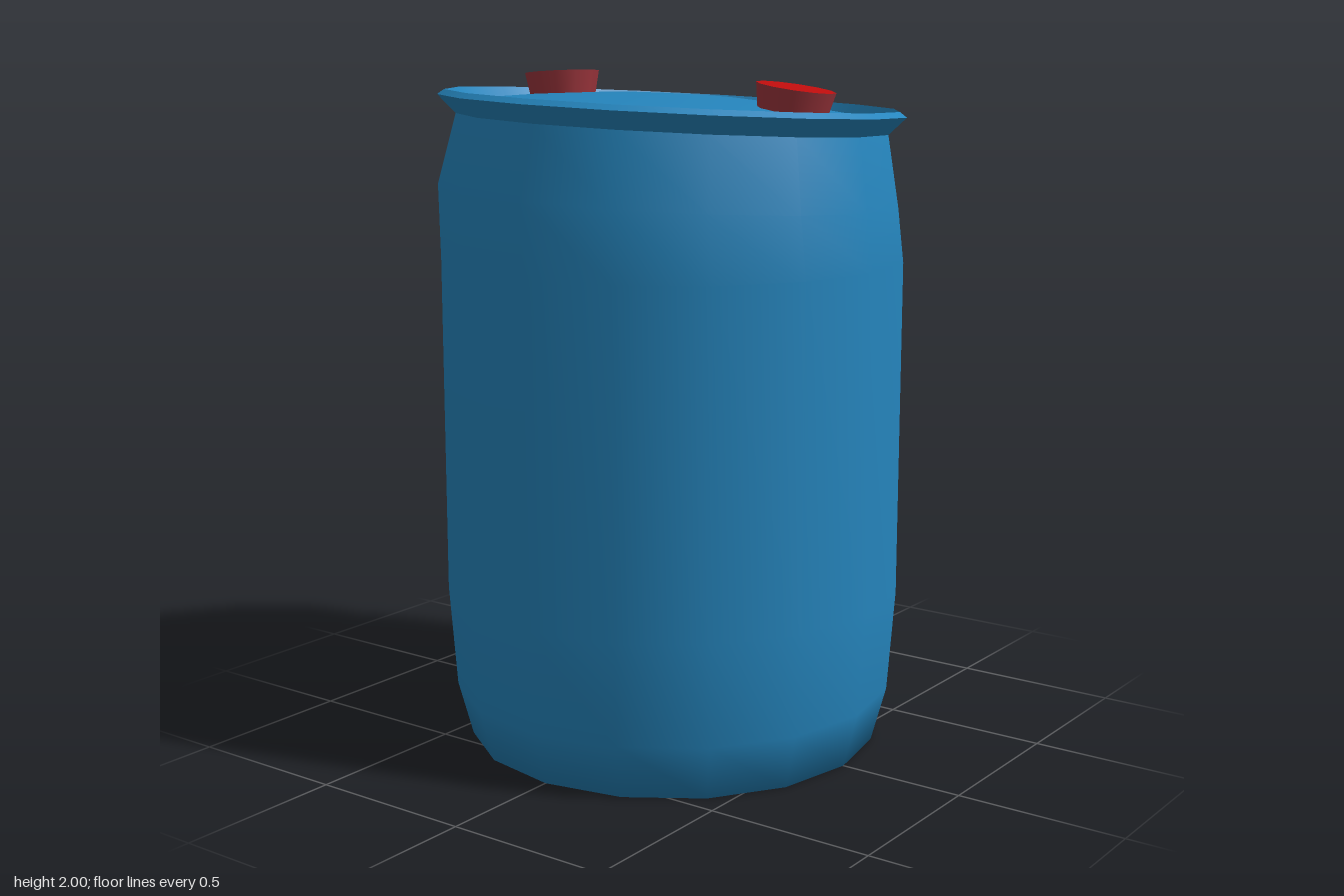
import * as THREE from 'three';

const SIDES = 16;
const clamp01 = (t) => Math.min(1, Math.max(0, t));

// Slanted top: rings above the barrel's straight wall tip to one side and lean slightly
const slope = (x, z) => -0.036 * x + 0.033 * z;
function warp(geometry) {
  const p = geometry.attributes.position;
  for (let i = 0; i < p.count; i++) {
    const x = p.getX(i), y = p.getY(i), z = p.getZ(i);
    const tilt = clamp01((y - 1.46) / 0.19);
    const lean = 0.008 * Math.max(0, 1 - Math.abs(y - 1.65) / 0.18);
    p.setXYZ(i, x - lean, y + tilt * slope(x, z), z + lean);
  }
  return geometry;
}

function ring(name, profile, material) {
  const points = profile.map(([r, y]) => new THREE.Vector2(r, y));
  const mesh = new THREE.Mesh(warp(new THREE.LatheGeometry(points, SIDES)), material);
  mesh.name = name;
  return mesh;
}

export function createModel() {
  const blue = new THREE.MeshStandardMaterial({ color: 0x2585bd });
  blue.name = 'barrel blue';
  const red = new THREE.MeshStandardMaterial({ color: 0xc00d0d });
  red.name = 'cap red';
  const dullRed = new THREE.MeshStandardMaterial({ color: 0x9c353c });
  dullRed.name = 'cap side dull red';

  const model = new THREE.Group();
  model.name = 'barrel';

  // Body with closed bottom
  model.add(ring('body', [
    [0, 0], [0.62, 0], [0.664, 0.165], [0.686, 0.47],
    [0.686, 1.46], [0.679, 1.65], [0.635, 1.855],
  ], blue));

  // Rim: sharp bands, one lathe each
  const rim = [[0.635, 1.855], [0.687, 1.907], [0.667, 1.922], [0.647, 1.888]];
  ['rimUnderside', 'rimOuterBevel', 'rimInnerWall'].forEach((name, i) => {
    model.add(ring(name, [rim[i], rim[i + 1]], blue));
  });

  // Gently domed lid
  model.add(ring('lid', [[0.647, 1.888], [0.42, 1.915], [0.2, 1.933], [0, 1.938]], blue));

  // Two screw caps following the slope of the lid
  for (const [side, name] of [[1, 'leftCap'], [-1, 'rightCap']]) {
    const cap = new THREE.Group();
    cap.name = name;
    const wall = new THREE.Mesh(new THREE.CylinderGeometry(0.114, 0.1, 0.07, 12, 1, true), dullRed);
    wall.name = 'capSide';
    wall.position.y = 0.027;
    const top = new THREE.Mesh(new THREE.CircleGeometry(0.114, 12).rotateX(-Math.PI / 2), red);
    top.name = 'capTop';
    top.position.y = 0.062;
    cap.add(wall, top);
    const x = side * 0.417;
    cap.position.set(x, 1.918 + slope(x, 0), 0);
    cap.rotation.set(0.033, 0, -0.036 - side * 0.11);
    cap.rotation.x = -0.033;
    model.add(cap);
  }
  return model;
}
